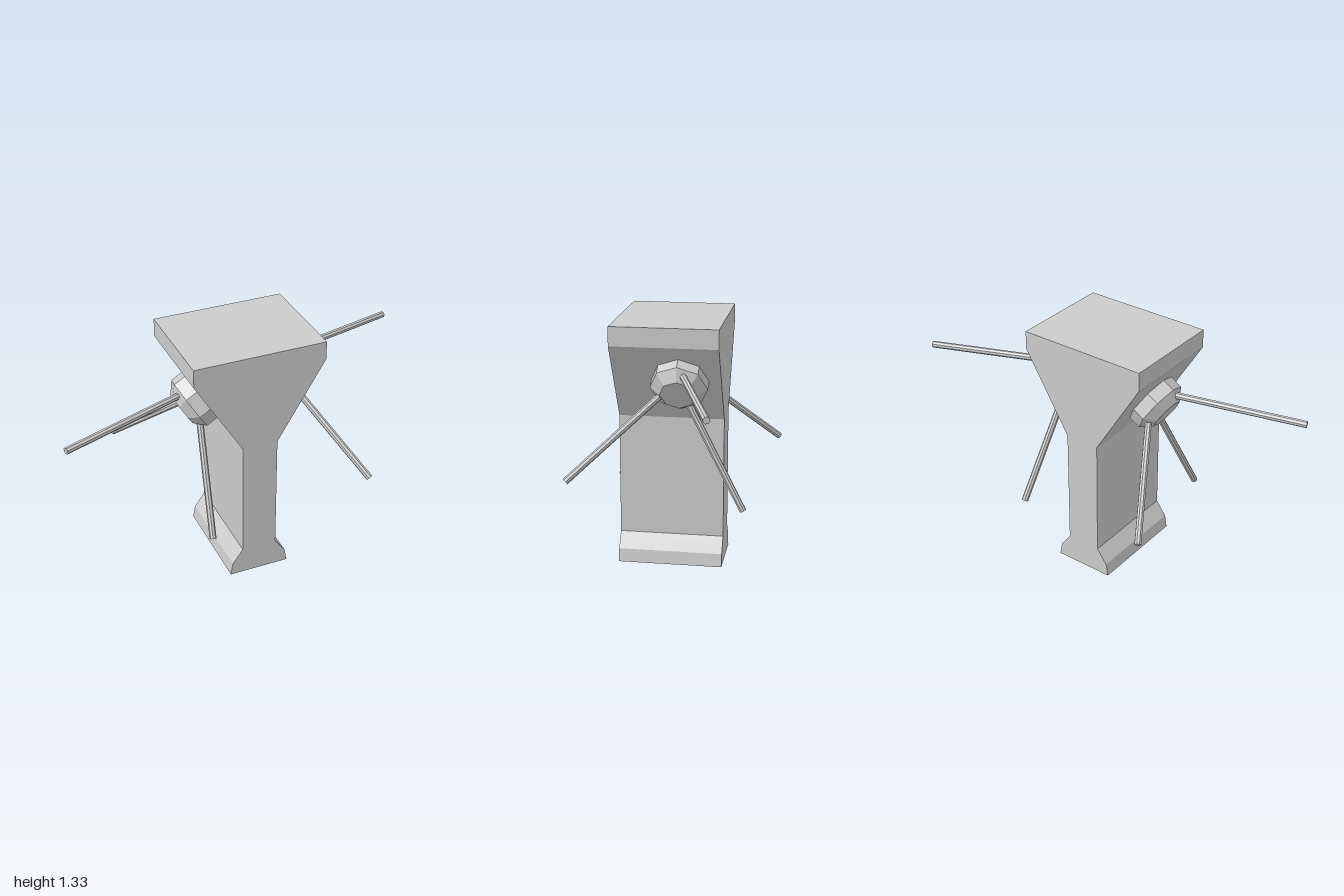
import * as THREE from 'three';

const material = new THREE.MeshStandardMaterial({ color: 0xcccccc, flatShading: true });

function addMesh(parent, geometry, name) {
  const mesh = new THREE.Mesh(geometry, material);
  mesh.name = name;
  parent.add(mesh);
  return mesh;
}

// Thin round bar between two points, its root sunk a little into the hub
function addRod(parent, start, end, name) {
  const a = new THREE.Vector3(...start), b = new THREE.Vector3(...end);
  const dir = b.clone().sub(a).normalize();
  a.addScaledVector(dir, -0.05);
  const rod = addMesh(parent, new THREE.CylinderGeometry(0.018, 0.018, a.distanceTo(b), 8), name);
  rod.position.copy(a).add(b).multiplyScalar(0.5);
  rod.quaternion.setFromUnitVectors(new THREE.Vector3(0, 1, 0), dir);
}

// Faceted hub on the sloping face, with three rods fanning out
function createRodCluster(name) {
  const cluster = new THREE.Group();
  cluster.name = name;
  const profile = [[0, -0.02], [0.148, -0.02], [0.148, 0.055], [0.092, 0.105], [0, 0.105]]
    .map(([r, h]) => new THREE.Vector2(r, h));
  const hub = addMesh(cluster, new THREE.LatheGeometry(profile, 8), 'hub');
  hub.position.set(0.233, 1.034, -0.04);
  hub.rotation.z = -Math.PI / 2 - Math.atan2(0.52, 0.853);

  addRod(cluster, [0.37, 1.082, -0.08], [0.995, 1.052, -0.275], 'sideRod');
  addRod(cluster, [0.28, 0.96, 0.06], [0.535, 0.57, 0.495], 'forwardRod');
  addRod(cluster, [0.243, 0.91, -0.09], [0.293, 0.375, -0.375], 'rearRod');
  return cluster;
}

export function createModel() {
  const model = new THREE.Group();
  model.name = 'pillarWithRods';

  // Pillar: one half outline, mirrored and extruded along z
  const half = [[0.165, 0], [0.153, 0.07], [0.095, 0.15], [0.095, 0.8], [0.353, 1.225], [0.353, 1.325]];
  const outline = [...half, ...half.map(([x, y]) => [-x, y]).reverse()];
  const shape = new THREE.Shape(outline.map(([x, y]) => new THREE.Vector2(x, y)));
  const pillar = addMesh(model,
    new THREE.ExtrudeGeometry(shape, { depth: 0.555, bevelEnabled: false }), 'pillar');
  pillar.position.set(-0.005, 0, -0.25);

  // The right cluster is the left one turned half around and set slightly lower
  model.add(createRodCluster('leftRodCluster'));
  const right = createRodCluster('rightRodCluster');
  right.rotation.y = Math.PI;
  right.position.set(-0.005, -0.034, 0);
  model.add(right);

  return model;
}
